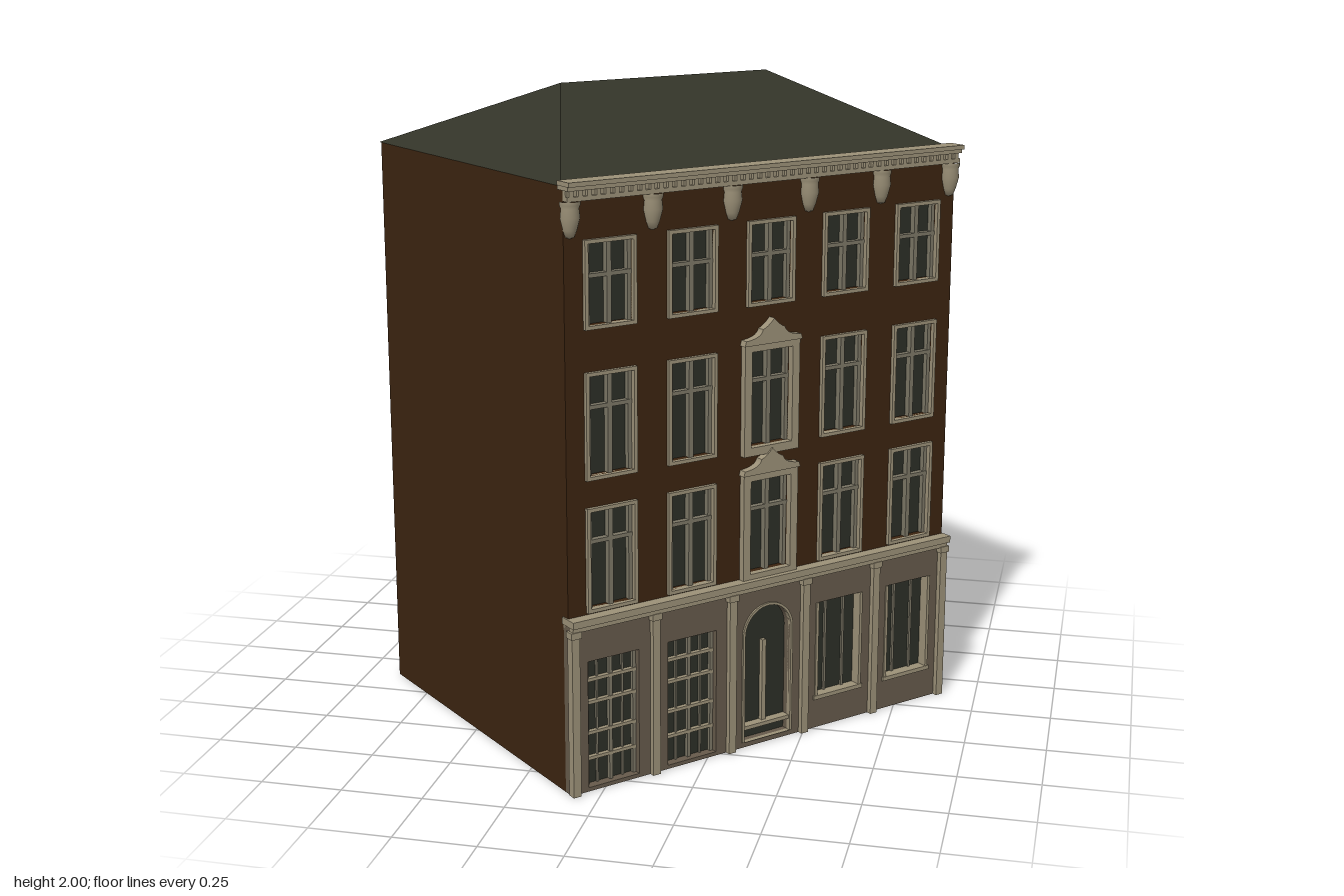
import * as THREE from 'three';

const mat = (name, color) => {
  const m = new THREE.MeshStandardMaterial({ color });
  m.name = name;
  return m;
};
const M = {
  brick: mat('brick', 0x3c2410),
  roof: mat('roof slate', 0x333428),
  trim: mat('pale stone trim', 0x9c9178),
  stone: mat('shopfront stone', 0x665a4b),
  glass: mat('dark glass', 0x2c2f27),
  bar: mat('window bars', 0x7c7766),
};

const BACK = -0.57, GLASS = 0.515, WALL = 0.54, STONE = 0.55;
const COLS = [-2, -1, 0, 1, 2].map(i => i * 0.277);
const PIERS = [-0.69, -0.414, -0.138, 0.138, 0.414, 0.69];

function add(parent, name, geo, m) {
  const mesh = new THREE.Mesh(geo, m);
  mesh.name = name;
  parent.add(mesh);
  return mesh;
}
// Box given by centre x, bottom and top y, back and front z
function box(parent, name, m, x, w, y0, y1, z0, z1) {
  const mesh = add(parent, name, new THREE.BoxGeometry(w, y1 - y0, z1 - z0), m);
  mesh.position.set(x, (y0 + y1) / 2, (z0 + z1) / 2);
  return mesh;
}
// Rectangle or arch-topped opening as a path
function opening(o, grow = 0, Type = THREE.Path) {
  const p = new Type(), w = o.w / 2 + grow, x = o.x, b = o.y0 - (o.arch ? 0 : grow), t = o.y1 + grow;
  p.moveTo(x - w, b);
  p.lineTo(x + w, b);
  if (o.arch) {
    p.lineTo(x + w, t - w);
    p.absarc(x, t - w, w, 0, Math.PI, false);
  } else {
    p.lineTo(x + w, t);
    p.lineTo(x - w, t);
  }
  p.closePath();
  return p;
}
function extrude(parent, name, shape, m, z0, z1) {
  const mesh = add(parent, name, new THREE.ExtrudeGeometry(shape,
    { depth: z1 - z0, bevelEnabled: false, curveSegments: 12 }), m);
  mesh.position.z = z0;
  return mesh;
}
// Flat wall pierced by openings
function piercedWall(parent, name, m, y0, y1, z1, openings) {
  const s = opening({ x: 0, w: 1.4, y0, y1 }, 0, THREE.Shape);
  s.holes = openings.map(o => opening(o));
  extrude(parent, name, s, m, GLASS, z1);
}
// Surround with the opening cut out
function surround(parent, o, width, m, z0, z1) {
  const s = opening(o, width, THREE.Shape);
  s.holes.push(opening(o));
  extrude(parent, 'surround', s, m, z0, z1);
}
function glassPane(parent, o) {
  extrude(parent, 'glass', opening(o, 0, THREE.Shape), M.glass, GLASS, GLASS + 0.006);
}

// Curved crown above the middle windows
function pediment(parent, y) {
  const s = new THREE.Shape();
  s.moveTo(-0.105, 0);
  s.lineTo(0.105, 0);
  s.lineTo(0.1, 0.016);
  s.quadraticCurveTo(0.045, 0.02, 0.04, 0.045);
  s.quadraticCurveTo(0.02, 0.052, 0, 0.075);
  s.quadraticCurveTo(-0.02, 0.052, -0.04, 0.045);
  s.quadraticCurveTo(-0.045, 0.02, -0.1, 0.016);
  s.closePath();
  extrude(parent, 'pediment', s, M.trim, WALL, WALL + 0.025).position.y = y;
}

// Sash window with mullion and transom
function sashWindow(parent, o, middle) {
  const g = new THREE.Group();
  g.name = middle ? 'middleWindow' : 'window';
  parent.add(g);
  glassPane(g, o);
  surround(g, o, middle ? 0.026 : 0.011, M.trim, WALL - 0.01, WALL + (middle ? 0.02 : 0.012));
  box(g, 'mullion', M.bar, o.x, 0.015, o.y0, o.y1, GLASS, WALL);
  box(g, 'transom', M.bar, o.x, o.w, o.y1 - 0.098, o.y1 - 0.086, GLASS, WALL);
  for (const s of [-1, 1]) box(g, 'sashStile', M.bar, o.x + s * (o.w / 2 - 0.006), 0.012, o.y0, o.y1, GLASS, WALL - 0.003);
  if (middle) pediment(g, o.y1 + 0.02);
}

function shopDoor(parent, o) {
  const g = new THREE.Group();
  g.name = 'shopDoor';
  parent.add(g);
  glassPane(g, o);
  for (const s of [-1, 0, 1]) box(g, 'doorStile', M.bar, o.x + s * (o.w / 2 - 0.006), 0.011, o.y0, o.y1, GLASS, 0.533);
  for (const s of [-1, 1]) box(g, 'glazingBar', M.bar, o.x + s * o.w / 4, 0.006, o.y0, o.y1, GLASS, 0.528);
  for (const y of [0.095, 0.175, 0.27, 0.34])
    box(g, 'doorRail', M.trim, o.x, o.w, y - 0.005, y + 0.005, GLASS, 0.535);
}
function archDoor(parent, o) {
  const g = new THREE.Group();
  g.name = 'archedDoor';
  parent.add(g);
  glassPane(g, o);
  surround(g, o, 0.008, M.trim, STONE - 0.01, STONE + 0.006);
  box(g, 'doorMullion', M.trim, o.x, 0.015, 0.06, 0.33, GLASS, 0.535);
  box(g, 'doorStep', M.trim, o.x, o.w, 0.055, 0.067, GLASS, STONE);
  box(g, 'doorSill', M.stone, o.x, o.w, 0, 0.018, GLASS, STONE);
}
function shopWindow(parent, o) {
  const g = new THREE.Group();
  g.name = 'shopWindow';
  parent.add(g);
  glassPane(g, o);
  for (const s of [-1, 1]) {
    box(g, 'windowReveal', M.trim, o.x + s * (o.w / 2 - 0.005), 0.01, o.y0, o.y1, GLASS, STONE + 0.004);
    box(g, 'windowBar', M.bar, o.x + s * 0.035, 0.008, o.y0, o.y1, GLASS, 0.528);
  }
  box(g, 'windowSill', M.trim, o.x, o.w + 0.01, o.y0 - 0.005, o.y0 + 0.008, GLASS, STONE + 0.006);
}

// Hipped roof
function roofGeometry() {
  const e = 1.785, A = [-0.7, e, 0.53], B = [0.7, e, 0.53], C = [0.7, e, -0.583], D = [-0.7, e, -0.583];
  const E = [-0.378, 2, -0.007], F = [0.378, 2, -0.007];
  const tris = [A, B, F, A, F, E, B, C, F, C, D, E, C, E, F, D, A, E, A, D, C, A, C, B];
  const g = new THREE.BufferGeometry();
  g.setAttribute('position', new THREE.Float32BufferAttribute(tris.flat(), 3));
  g.computeVertexNormals();
  return g;
}

export function createModel() {
  const model = new THREE.Group();
  model.name = 'townhouse';
  const house = new THREE.Group();
  house.name = 'house';
  house.rotation.y = Math.atan2(0.728, 0.685);
  model.add(house);

  box(house, 'body', M.brick, 0, 1.4, 0, 1.785, BACK, GLASS);
  add(house, 'roof', roofGeometry(), M.roof);

  // Upper storeys
  const rows = [[0.562, 0.853], [0.957, 1.248], [1.392, 1.623]];
  const windows = rows.flatMap(([y0, y1], r) => COLS.map((x, c) => ({ x, w: 0.148, y0, y1, middle: c === 2 && r < 2 })));
  piercedWall(house, 'brickFront', M.brick, 0.52, 1.785, WALL, windows);
  windows.forEach(o => sashWindow(house, o, o.middle));

  // Ground floor
  const ground = COLS.map((x, c) => c < 2 ? { x, w: 0.175, y0: 0.012, y1: 0.405 }
    : c === 2 ? { x, w: 0.172, y0: 0.018, y1: 0.448, arch: true }
    : { x, w: 0.182, y0: 0.1, y1: 0.415 });
  piercedWall(house, 'stoneFront', M.stone, 0, 0.52, STONE, ground);
  ground.forEach((o, c) => [shopDoor, shopDoor, archDoor, shopWindow, shopWindow][c](house, o));
  for (const x of PIERS) {
    box(house, 'pilaster', M.trim, x, 0.026, 0, 0.51, WALL, 0.566);
    box(house, 'pilasterCap', M.trim, x, 0.034, 0.49, 0.51, WALL, 0.57);
  }
  box(house, 'shopCorniceLower', M.trim, 0, 1.4, 0.508, 0.524, GLASS, 0.567);
  box(house, 'shopCorniceUpper', M.trim, 0, 1.41, 0.524, 0.545, GLASS, 0.577);

  // Top cornice with dentils and brackets
  box(house, 'corniceLower', M.trim, 0, 1.4, 1.745, 1.758, GLASS, 0.564);
  box(house, 'corniceBand', M.trim, 0, 1.4, 1.758, 1.775, GLASS, 0.554);
  box(house, 'corniceUpper', M.trim, 0, 1.404, 1.775, 1.787, GLASS, 0.57);
  box(house, 'corniceTop', M.trim, 0, 1.408, 1.787, 1.8, GLASS, 0.578);
  for (let i = 0; i < 48; i++)
    box(house, 'dentil', M.trim, -0.687 + i * 1.374 / 47, 0.014, 1.758, 1.775, 0.55, 0.564);
  const profile = [[0, 1.64], [0.013, 1.645], [0.021, 1.665], [0.03, 1.7], [0.027, 1.725], [0.031, 1.735], [0.031, 1.745]]
    .map(p => new THREE.Vector2(...p));
  const bracket = new THREE.LatheGeometry(profile, 12, -Math.PI / 2, Math.PI);
  for (const x of [-0.68, -0.41, -0.138, 0.138, 0.41, 0.68])
    add(house, 'bracket', bracket, M.trim).position.set(x, 0, WALL);

  return model;
}
